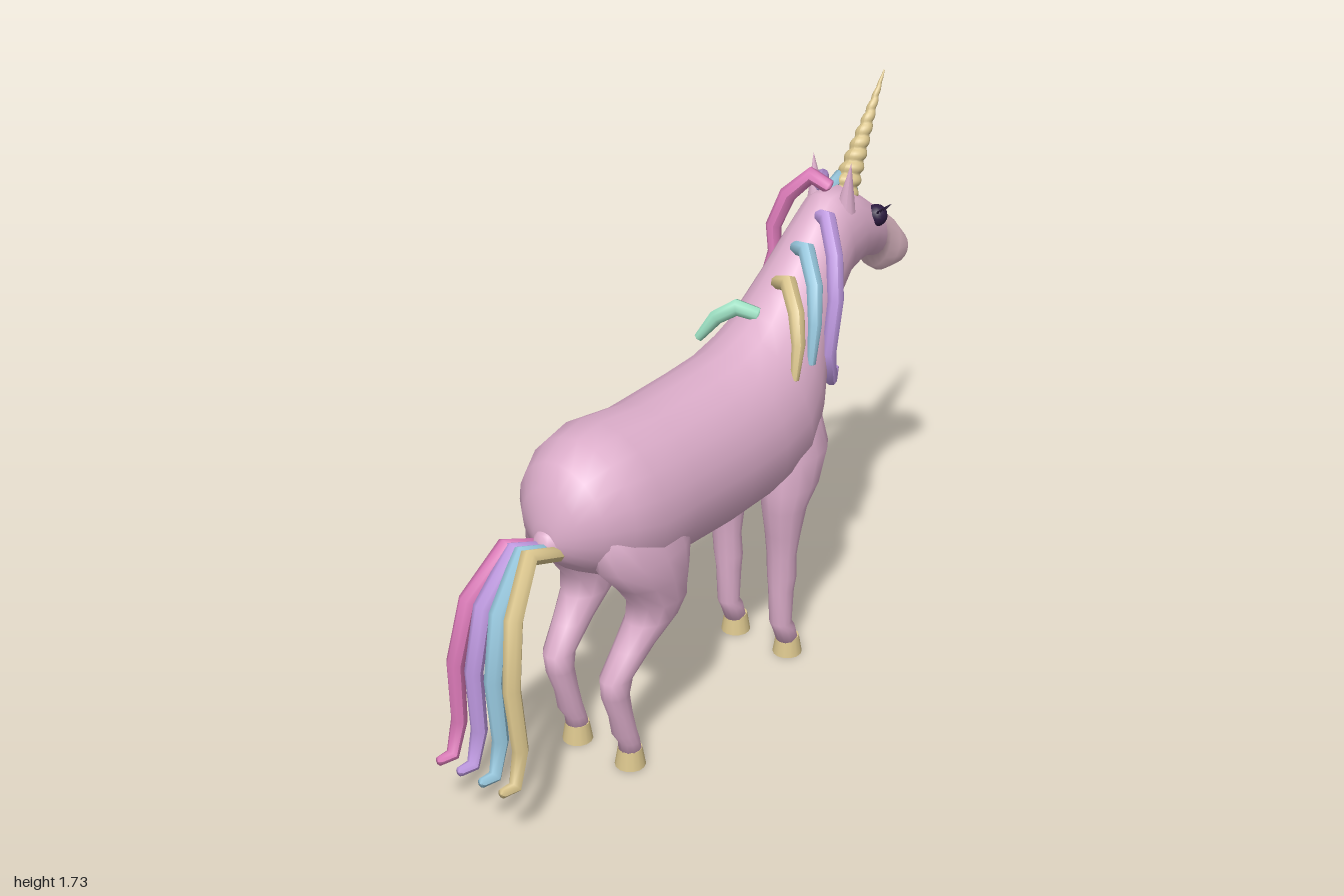
import * as THREE from 'three';

const mat = (name, color, side = THREE.FrontSide) => {
  const m = new THREE.MeshStandardMaterial({ color, side });
  m.name = name;
  return m;
};

// Skin through oval sections [topZ, topY, bottomZ, bottomY, halfWidth, centreX].
// splitAt starts a second material group at that section.
function loft(sections, sides, splitAt) {
  const pos = [], idx = [], n = sections.length;
  for (const [tz, ty, bz, by, hw, cx = 0] of sections) {
    for (let j = 0; j < sides; j++) {
      const a = (j / sides) * Math.PI * 2, k = (1 + Math.cos(a)) / 2;
      pos.push(cx + Math.sin(a) * hw, by + (ty - by) * k, bz + (tz - bz) * k);
    }
  }
  for (const s of [sections[0], sections[n - 1]]) pos.push(s[5] || 0, (s[1] + s[3]) / 2, (s[0] + s[2]) / 2);
  const capA = n * sides, capB = capA + 1;
  let split = 0;
  for (let j = 0; j < sides; j++) idx.push(capA, (j + 1) % sides, j);
  for (let i = 0; i < n - 1; i++) {
    if (i === splitAt) split = idx.length;
    for (let j = 0; j < sides; j++) {
      const a = i * sides + j, b = i * sides + (j + 1) % sides;
      idx.push(a, b, a + sides, b, b + sides, a + sides);
    }
  }
  const last = (n - 1) * sides;
  for (let j = 0; j < sides; j++) idx.push(capB, last + j, last + (j + 1) % sides);
  const g = new THREE.BufferGeometry();
  g.setAttribute('position', new THREE.Float32BufferAttribute(pos, 3));
  g.setIndex(idx);
  g.computeVertexNormals();
  if (splitAt) {
    g.addGroup(0, split, 0);
    g.addGroup(split, idx.length - split, 1);
  }
  return g;
}

// Kinked lock of hair: one ring per point, thinning to the tip, closed ends
function strand(points, radius, tipScale = 0.4) {
  const pts = points.map(p => new THREE.Vector3(...p));
  const n = pts.length;
  const near = (a, b) => a.clone().add(a.clone().sub(b).setLength(0.006));
  const all = [near(pts[0], pts[1]), ...pts, near(pts[n - 1], pts[n - 2])];
  const curve = new THREE.CatmullRomCurve3(all);
  curve.getUtoTmapping = u => u;
  const sides = 8, g = new THREE.TubeGeometry(curve, n + 1, radius, sides);
  const p = g.attributes.position, v = new THREE.Vector3();
  for (let i = 0; i < p.count; i++) {
    const ring = Math.floor(i / (sides + 1));
    let s = 0;
    if (ring > 0 && ring <= n) {
      const t = (ring - 1) / (n - 1);
      s = ring === 1 ? 0.8 : 1 - (1 - tipScale) * t * t * t;
    }
    v.fromBufferAttribute(p, i).sub(all[ring]).multiplyScalar(s).add(all[ring]);
    p.setXYZ(i, v.x, v.y, v.z);
  }
  g.computeVertexNormals();
  return g;
}

// Tapered cone wound with one helical ridge
function spiralHorn(height, radius) {
  const g = new THREE.CylinderGeometry(0.002, 1, height, 16, 80);
  const p = g.attributes.position;
  for (let i = 0; i < p.count; i++) {
    const t = p.getY(i) / height + 0.5;
    const a = Math.atan2(p.getZ(i), p.getX(i));
    const inside = Math.hypot(p.getX(i), p.getZ(i)) < 1e-6;
    const ridge = 0.8 + 0.28 * Math.abs(Math.sin(a / 2 + 10 * Math.PI * t));
    const r = inside ? 0 : (radius * (1 - t) + 0.002) * ridge;
    p.setX(i, Math.cos(a) * r);
    p.setZ(i, Math.sin(a) * r);
  }
  g.computeVertexNormals();
  return g;
}

export function createModel() {
  const root = new THREE.Group();
  const coat = mat('coat', 0xdcadca), muzzle = mat('muzzle', 0xe2bcc8);
  const gold = mat('gold', 0xd9c48c), pink = mat('pink hair', 0xdb7ab8);
  const purple = mat('purple hair', 0xbd98df), blue = mat('blue hair', 0x96c6dc);
  const mint = mat('mint hair', 0x98dabd), dark = mat('eye', 0x2c1a40);
  const add = (name, geo, material, parent = root) => {
    const m = new THREE.Mesh(geo, material);
    m.name = name;
    parent.add(m);
    return m;
  };
  const UP = new THREE.Vector3(0, 1, 0);

  // Rump, barrel, neck and head in one skin
  add('body', loft([
    [0.665, 0.88, 0.665, 0.79, 0.04], [0.645, 0.97, 0.64, 0.75, 0.1],
    [0.6, 1.035, 0.585, 0.7, 0.155], [0.52, 1.075, 0.5, 0.65, 0.2],
    [0.42, 1.09, 0.4, 0.6, 0.225], [0.25, 1.068, 0.25, 0.59, 0.208],
    [0, 1.075, 0, 0.58, 0.21], [-0.12, 1.085, -0.2, 0.585, 0.207],
    [-0.21, 1.115, -0.36, 0.61, 0.2], [-0.27, 1.15, -0.45, 0.72, 0.178],
    [-0.33, 1.2, -0.485, 0.86, 0.155], [-0.41, 1.275, -0.52, 0.97, 0.13],
    [-0.5, 1.36, -0.58, 1.07, 0.112], [-0.58, 1.43, -0.65, 1.14, 0.102],
    [-0.66, 1.435, -0.72, 1.165, 0.1], [-0.74, 1.385, -0.77, 1.17, 0.094],
    [-0.82, 1.325, -0.82, 1.15, 0.078], [-0.88, 1.285, -0.838, 1.105, 0.064],
    [-0.94, 1.235, -0.875, 1.08, 0.064], [-0.985, 1.18, -0.93, 1.08, 0.06],
    [-1.0, 1.14, -0.98, 1.1, 0.032],
  ], 20, 16), [coat, muzzle]);
  const dock = add('tailRoot', new THREE.SphereGeometry(0.05, 12, 8), coat);
  dock.position.set(0, 0.81, 0.64);

  // Leg levels: [y, frontZ, backZ, halfWidth, x]
  const hind = [
    [0.86, 0.26, 0.6, 0.07, 0.12], [0.72, 0.22, 0.58, 0.095, 0.125],
    [0.63, 0.23, 0.5, 0.09, 0.125], [0.55, 0.24, 0.44, 0.08, 0.125],
    [0.49, 0.27, 0.45, 0.068, 0.122], [0.42, 0.36, 0.5, 0.054, 0.115],
    [0.34, 0.45, 0.555, 0.046, 0.108], [0.28, 0.46, 0.55, 0.04, 0.105],
    [0.2, 0.445, 0.52, 0.036, 0.104], [0.13, 0.43, 0.505, 0.04, 0.104],
    [0.09, 0.415, 0.48, 0.034, 0.104], [0.05, 0.405, 0.475, 0.035, 0.102],
  ];
  const fore = [
    [0.85, -0.43, -0.22, 0.06, 0.1], [0.72, -0.455, -0.2, 0.085, 0.108],
    [0.62, -0.41, -0.195, 0.08, 0.11], [0.55, -0.35, -0.203, 0.068, 0.11],
    [0.46, -0.33, -0.22, 0.056, 0.108], [0.38, -0.315, -0.232, 0.048, 0.106],
    [0.3, -0.325, -0.235, 0.046, 0.104], [0.25, -0.32, -0.24, 0.04, 0.102],
    [0.13, -0.315, -0.245, 0.035, 0.102], [0.1, -0.335, -0.26, 0.036, 0.102],
    [0.05, -0.35, -0.28, 0.035, 0.102],
  ];
  for (const s of [1, -1]) {
    const side = s > 0 ? 'left' : 'right';
    for (const [name, levels, hoofZ] of [['HindLeg', hind, 0.44], ['ForeLeg', fore, -0.318]]) {
      add(side + name, loft(levels.map(([y, f, b, w, x]) => [f, y, b, y, w, x * s]), 12), coat);
      const hoof = add(side + name + 'Hoof', new THREE.CylinderGeometry(0.036, 0.046, 0.06, 14), gold);
      hoof.position.set(0.102 * s, 0.03, hoofZ);
    }

    // Ears
    const ear = add(side + 'Ear', new THREE.ConeGeometry(0.034, 0.17, 10), coat);
    ear.position.set(0.06 * s, 1.445, -0.63);
    ear.rotation.z = -0.1 * s;

    // Eyes with a fan of lashes
    const eye = new THREE.Group();
    eye.name = side + 'Eye';
    eye.position.set(0.078 * s, 1.325, -0.755);
    root.add(eye);
    add('eyeball', new THREE.SphereGeometry(0.034, 14, 10), dark, eye);
    for (let i = -2; i <= 2; i++) {
      const dir = new THREE.Vector3(0.75 * s, 0.8, i * 0.4).normalize();
      const lash = add('lash', new THREE.ConeGeometry(0.006, 0.032, 5), dark, eye);
      lash.position.copy(dir).multiplyScalar(0.042);
      lash.quaternion.setFromUnitVectors(UP, dir);
    }
  }

  // Horn leaning forward
  const from = new THREE.Vector3(0, 1.385, -0.685), to = new THREE.Vector3(0, 1.73, -0.882);
  const horn = add('horn', spiralHorn(from.distanceTo(to), 0.042), gold);
  horn.position.copy(from).lerp(to, 0.5);
  horn.quaternion.setFromUnitVectors(UP, to.clone().sub(from).normalize());

  // Tail: four locks fanning out, path as [spread, y, z]
  const tailPath = [
    [0.3, 0.79, 0.65], [0.36, 0.84, 0.775], [0.7, 0.71, 0.885], [0.88, 0.52, 0.925],
    [0.97, 0.32, 0.912], [1, 0.215, 0.942], [1, 0.222, 0.995],
  ];
  [[-0.118, pink], [-0.04, purple], [0.042, blue], [0.118, gold]].forEach(([x, m], i) =>
    add('tailLock' + (i + 1), strand(tailPath.map(([k, y, z]) => [k * x, y, z]), 0.028, 0.5), m));

  // Mane locks falling to either side of the crest, and the forelock
  const locks = [
    ['maneLock1', pink, [[0, 1.44, -0.62], [-0.06, 1.465, -0.61], [-0.12, 1.4, -0.575],
      [-0.152, 1.3, -0.55], [-0.14, 1.22, -0.54], [-0.152, 1.165, -0.52]]],
    ['maneLock2', purple, [[0, 1.37, -0.56], [0.06, 1.385, -0.53], [0.125, 1.3, -0.48],
      [0.155, 1.18, -0.45], [0.158, 1.02, -0.42], [0.15, 0.92, -0.445], [0.14, 0.95, -0.475]]],
    ['maneLock3', blue, [[0, 1.3, -0.46], [0.06, 1.32, -0.43], [0.125, 1.24, -0.385],
      [0.155, 1.14, -0.35], [0.16, 1.02, -0.33]]],
    ['maneLock4', gold, [[0, 1.22, -0.37], [0.06, 1.245, -0.345], [0.12, 1.18, -0.305],
      [0.152, 1.1, -0.275], [0.16, 1.0, -0.25]]],
    ['maneLock5', mint, [[0, 1.15, -0.28], [-0.06, 1.165, -0.255], [-0.11, 1.13, -0.22],
      [-0.148, 1.065, -0.185]]],
    ['forelock1', blue, [[-0.015, 1.42, -0.62], [-0.02, 1.445, -0.7], [-0.028, 1.405, -0.775],
      [-0.032, 1.32, -0.8]]],
    ['forelock2', purple, [[-0.035, 1.43, -0.62], [-0.07, 1.44, -0.68], [-0.102, 1.37, -0.73],
      [-0.115, 1.27, -0.75], [-0.135, 1.19, -0.79]]],
  ];
  for (const [name, m, pts] of locks) add(name, strand(pts, name.startsWith('fore') ? 0.02 : 0.027, 0.5), m);

  return root;
}
